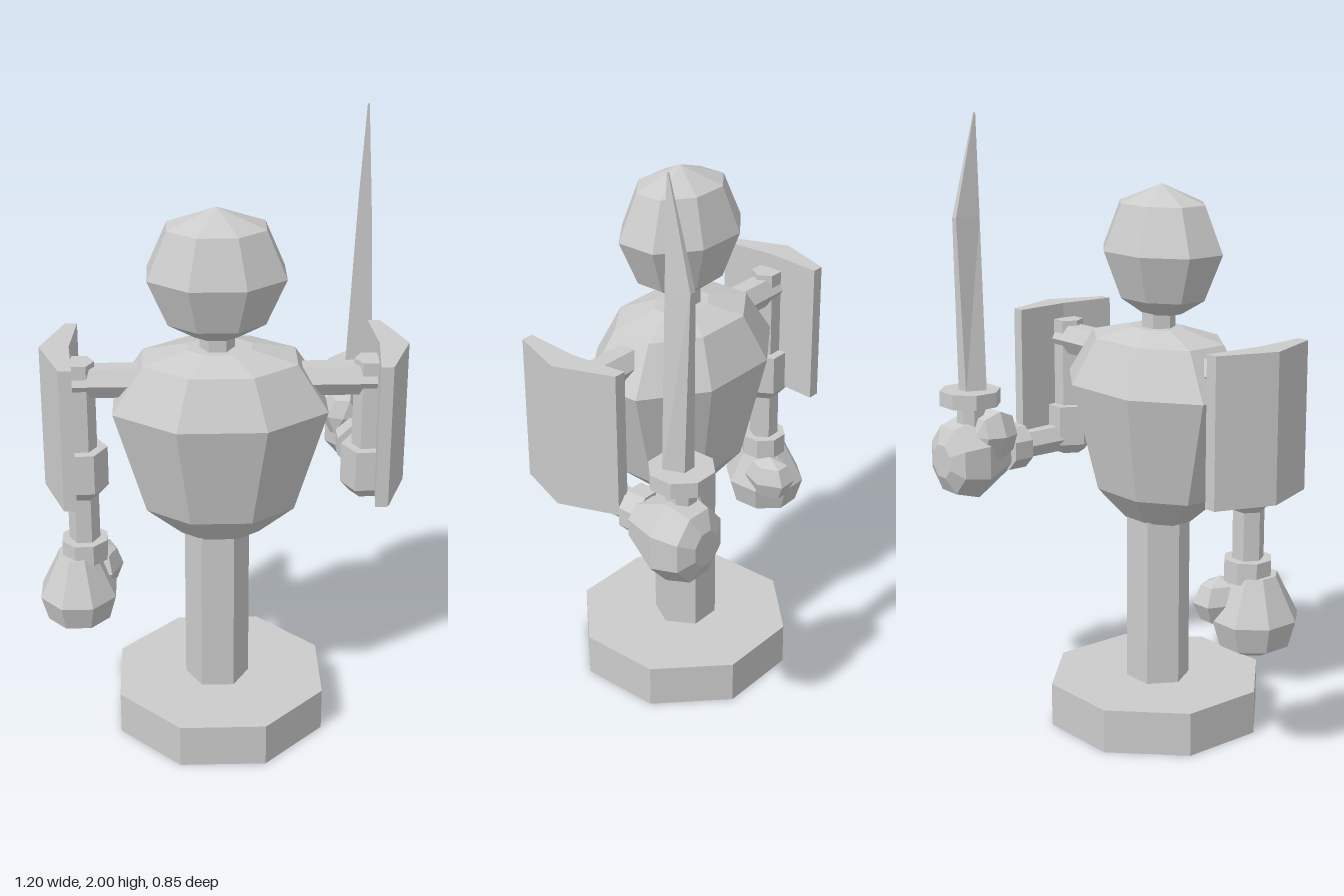
import * as THREE from 'three';

const material = new THREE.MeshStandardMaterial({ color: 0xcccccc, flatShading: true });
const AXIS_X = -0.02, AXIS_Z = 0.09; // body axis
const OCT = 1 / Math.cos(Math.PI / 8);

function add(parent, name, geometry, x = 0, y = 0, z = 0) {
  const mesh = new THREE.Mesh(geometry, material);
  mesh.name = name;
  mesh.position.set(x, y, z);
  parent.add(mesh);
  return mesh;
}

// Closed faceted solid from [radius, y] pairs, bottom to top; radius is to the flats
function octagonal(profile, depth = 1) {
  const pts = [[0, profile[0][1]], ...profile, [0, profile[profile.length - 1][1]]];
  const g = new THREE.LatheGeometry(pts.map(([r, y]) => new THREE.Vector2(r * OCT, y)), 8, Math.PI / 8);
  return g.scale(1, 1, depth);
}

// Six-sided bar with corners on the x axis
function hexBar(rTop, rBottom, length) {
  return new THREE.CylinderGeometry(rTop, rBottom, length, 6).rotateY(Math.PI / 2);
}

function buildBlade() {
  const g = new THREE.BoxGeometry(1, 1, 1, 1, 2, 1);
  // Per level: height, half width of spine and edge, z of spine and edge
  const levels = [
    [1.09, 0.047, 0.022, -0.28, -0.345],
    [1.67, 0.022, 0.011, -0.276, -0.36],
    [2.0, 0.003, 0.002, -0.271, -0.276],
  ];
  const p = g.attributes.position;
  for (let i = 0; i < p.count; i++) {
    const [y, spine, edge, zSpine, zEdge] = levels[Math.round((p.getY(i) + 0.5) * 2)];
    const isSpine = p.getZ(i) > 0;
    p.setXYZ(i, Math.sign(p.getX(i)) * (isSpine ? spine : edge), y, isSpine ? zSpine : zEdge);
  }
  g.computeVertexNormals();
  return g;
}

// Forearm, cuff and hand hanging down from the elbow; s = outward direction along x
function buildForearm(s) {
  const arm = new THREE.Group();
  add(arm, 'forearm', hexBar(0.05, 0.05, 0.28), 0, -0.13, 0);
  add(arm, 'cuff', octagonal([[0.072, -0.28], [0.072, -0.21]]));
  add(arm, 'hand', octagonal([[0.05, -0.513], [0.1, -0.485], [0.122, -0.4], [0.06, -0.26]], 1.1),
    s * 0.025, 0, 0.012);
  const thumb = add(arm, 'thumb', new THREE.SphereGeometry(1, 6, 4), s * -0.05, -0.35, -0.07);
  thumb.scale.set(0.07, 0.08, 0.095);
  return arm;
}

// Whole arm with shoulder plate
function buildArm(s) {
  const arm = new THREE.Group();
  const x = s * 0.455;
  const rod = hexBar(0.055, 0.055, 0.24).rotateY(Math.PI / 2).rotateZ(Math.PI / 2);
  add(arm, 'shoulderRod', rod, s * 0.355, 1.225, AXIS_Z);
  add(arm, 'upperArm', hexBar(0.05, 0.05, 0.4), x, 1.09, AXIS_Z);
  add(arm, 'elbow', hexBar(0.083, 0.083, 0.135), x, 0.928, AXIS_Z);
  add(arm, 'elbowTip', hexBar(0.083, 0.05, 0.035), x, 0.843, AXIS_Z);

  // Plate bent outward along its middle
  const outline = [[0.465, -0.1], [0.505, -0.1], [0.575, 0.09], [0.505, 0.28], [0.465, 0.28], [0.482, 0.09]];
  const shape = new THREE.Shape(outline.map(([px, pz]) => new THREE.Vector2(s * px, pz)));
  const plate = new THREE.ExtrudeGeometry(shape, { depth: 0.475, bevelEnabled: false }).rotateX(Math.PI / 2);
  add(arm, 'shoulderPlate', plate, 0, 1.34, 0);

  const lower = buildForearm(s);
  lower.name = 'lowerArm';
  lower.position.set(x, 0.88, AXIS_Z);
  if (s > 0) lower.rotation.x = Math.PI / 2; // sword arm is raised level
  arm.add(lower);
  return arm;
}

export function createModel() {
  const model = new THREE.Group();
  model.name = 'trainingDummy';

  // Stand
  add(model, 'base', octagonal([[0.335, 0], [0.335, 0.145]]), AXIS_X, 0, AXIS_Z);
  add(model, 'post', hexBar(0.105, 0.105, 0.6), AXIS_X - 0.01, 0.43, AXIS_Z);

  // Body and head
  add(model, 'torso', octagonal(
    [[0.125, 0.7], [0.235, 0.8], [0.335, 1.15], [0.24, 1.3], [0.1, 1.335]], 0.715), AXIS_X, 0, AXIS_Z);
  add(model, 'neck', hexBar(0.055, 0.055, 0.12), AXIS_X - 0.008, 1.37, AXIS_Z);
  add(model, 'head', octagonal(
    [[0.07, 1.38], [0.15, 1.43], [0.212, 1.58], [0.15, 1.73], [0, 1.79]], 0.78), AXIS_X - 0.01, 0, AXIS_Z + 0.01);

  // Arms
  for (const s of [-1, 1]) {
    const arm = buildArm(s);
    arm.name = s > 0 ? 'leftArm' : 'rightArm';
    arm.position.x = -0.005;
    model.add(arm);
  }

  // Sword held upright in the left hand
  const sword = new THREE.Group();
  sword.name = 'sword';
  sword.position.x = 0.458;
  add(sword, 'grip', octagonal([[0.045, 0.85], [0.045, 1.06]]), 0, 0, -0.312);
  add(sword, 'guard', octagonal([[0.095, 1.05], [0.095, 1.1]]), 0, 0, -0.315);
  add(sword, 'blade', buildBlade());
  model.add(sword);
  return model;
}
